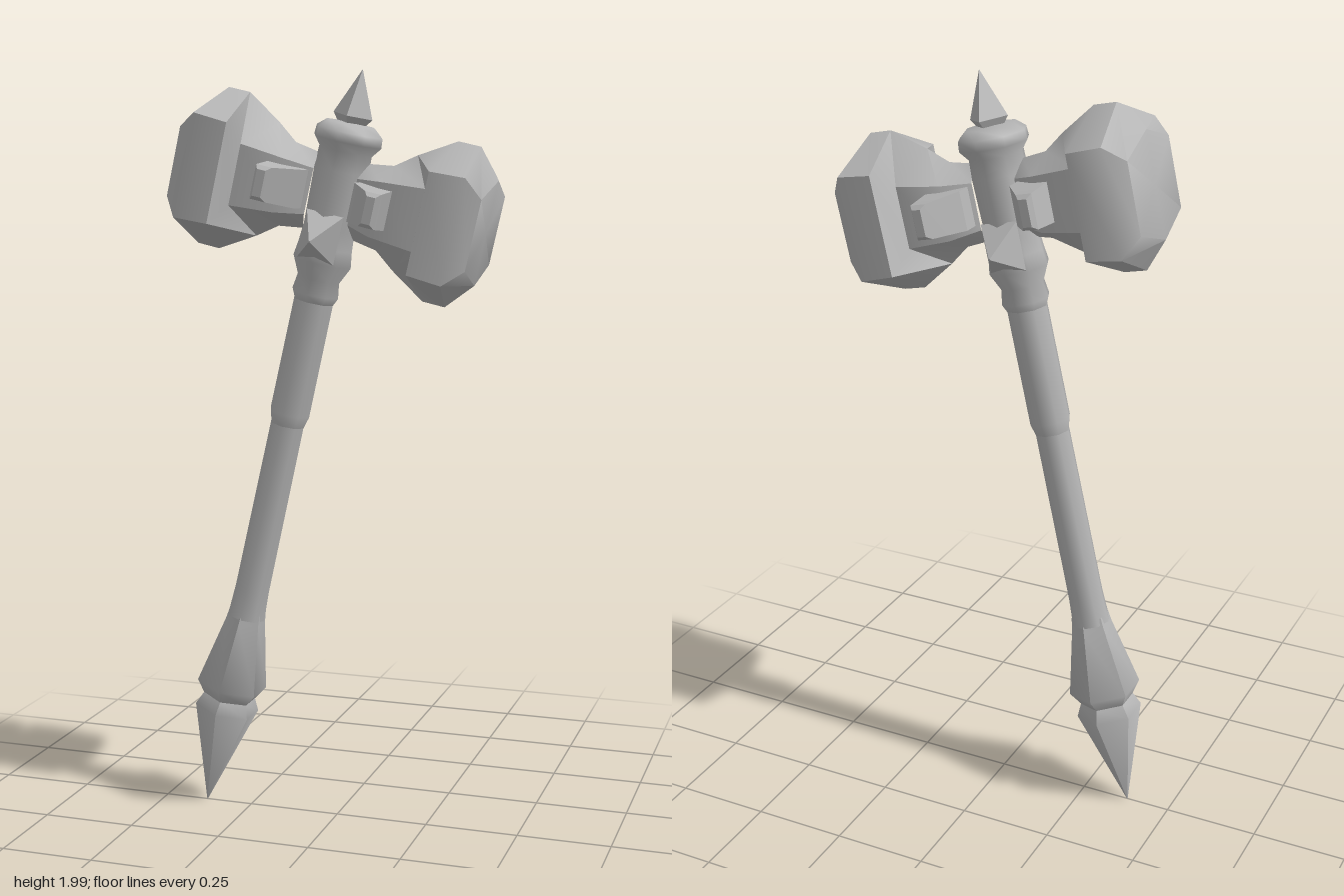
import * as THREE from 'three';
import { toCreasedNormals } from 'three/addons/utils/BufferGeometryUtils.js';

// Skin a list of equal-sized rings, closing the first ring with a fan.
function loft(rings, crease) {
  const n = rings[0].length;
  const centre = [0, 1, 2].map(k => rings[0].reduce((s, p) => s + p[k], 0) / n);
  const pos = [...rings.flat(2), ...centre];
  const c = rings.length * n;
  const index = [];
  for (let i = 0; i < n; i++) {
    const j = (i + 1) % n;
    index.push(c, i, j);
    for (let r = 0; r < rings.length - 1; r++) {
      const a = r * n, b = a + n;
      index.push(a + i, b + i, a + j, b + i, b + j, a + j);
    }
  }
  const g = new THREE.BufferGeometry();
  g.setAttribute('position', new THREE.Float32BufferAttribute(pos, 3));
  g.setIndex(index);
  return toCreasedNormals(g, crease);
}

// Profile points are [height, radius], bottom to top.
const turned = (profile, sides) =>
  new THREE.LatheGeometry(profile.map(([y, r]) => new THREE.Vector2(r, y)), sides);

// Hexagonal section with points up and down; ridge and side corners may differ in x.
const V0 = -0.018;
const hexRing = ([xa, va, xs, vs, zs]) => [
  [xa, V0 + va, 0], [xs, V0 + vs, zs], [xs, V0 - vs, zs],
  [xa, V0 - va, 0], [xs, V0 - vs, -zs], [xs, V0 + vs, -zs],
];

// Rectangular section facing +z.
const rectRing = (x0, x1, y0, y1, z) => [[x0, y0, z], [x1, y0, z], [x1, y1, z], [x0, y1, z]];

export function createModel() {
  const model = new THREE.Group();
  model.name = 'warHammer';
  const metal = new THREE.MeshStandardMaterial({ color: 0xb4b4b4 });
  metal.name = 'grey metal';

  // Everything is built upright around the head centre, then leaned over.
  const hammer = new THREE.Group();
  hammer.name = 'leaningHammer';
  hammer.position.y = 1.7;
  hammer.rotation.z = -0.2217;
  model.add(hammer);

  const add = (name, geometry, turn = 0) => {
    const mesh = new THREE.Mesh(geometry, metal);
    mesh.name = name;
    mesh.rotation.y = turn;
    hammer.add(mesh);
  };

  // Handle and pommel
  add('pommel', toCreasedNormals(turned([
    [-1.73, 0.001], [-1.45, 0.088], [-1.415, 0.072], [-1.38, 0.096], [-1.19, 0.054], [-1.16, 0.05],
  ], 6), 0.8));
  add('lowerHandle', turned([[-1.18, 0.052], [-1.1, 0.048], [-0.63, 0.046], [-0.6, 0.05]], 8));
  add('upperHandle', turned([[-0.64, 0.044], [-0.6, 0.055], [-0.28, 0.054]], 8));

  // Socket that carries the two striking heads
  add('socket', turned([
    [-0.3, 0.052], [-0.275, 0.064], [-0.235, 0.058], [-0.19, 0.08], [-0.15, 0.074],
    [-0.1, 0.07], [0.05, 0.074], [0.1, 0.072], [0.125, 0.092], [0.15, 0.09], [0.17, 0.066], [0.175, 0.001],
  ], 8));
  add('topSpike', toCreasedNormals(turned([[0.16, 0.03], [0.19, 0.053], [0.308, 0.0005]], 4), 0.5));

  // Striking heads, mirrored by a half turn
  const head = loft([
    [0.408, 0.135, 0.405, 0.09, 0.13],
    [0.345, 0.207, 0.362, 0.135, 0.167],
    [0.285, 0.207, 0.27, 0.13, 0.167],
    [0.19, 0.15, 0.25, 0.08, 0.09],
    [0.135, 0.11, 0.13, 0.07, 0.09],
    [0.07, 0.1, 0.06, 0.06, 0.045],
  ].map(hexRing), 0.75);

  // Wedge studs on the necks, and a small barb below the socket's middle
  const stud = s => {
    const ring = (a, b, h, z) =>
      rectRing(Math.min(a * s, b * s), Math.max(a * s, b * s), -0.014 - h, -0.014 + h, z);
    return loft([
      ring(0.135, 0.158, 0.034, 0.188), ring(0.125, 0.167, 0.044, 0.175),
      ring(0.07, 0.169, 0.05, 0.095), ring(0.07, 0.169, 0.05, 0.03),
    ], 0.4);
  };
  const barb = loft([
    rectRing(-0.002, 0.002, -0.132, -0.128, 0.14), rectRing(-0.05, 0.05, -0.185, -0.06, 0.06),
  ], 0.4);

  for (const [side, turn] of [['left', 0], ['right', Math.PI]]) {
    add(side + 'Head', head, turn);
    const face = turn ? 'back' : 'front';
    add(face + 'StudA', stud(1), turn);
    add(face + 'StudB', stud(-1), turn);
    add(face + 'Barb', barb, turn);
  }
  return model;
}
